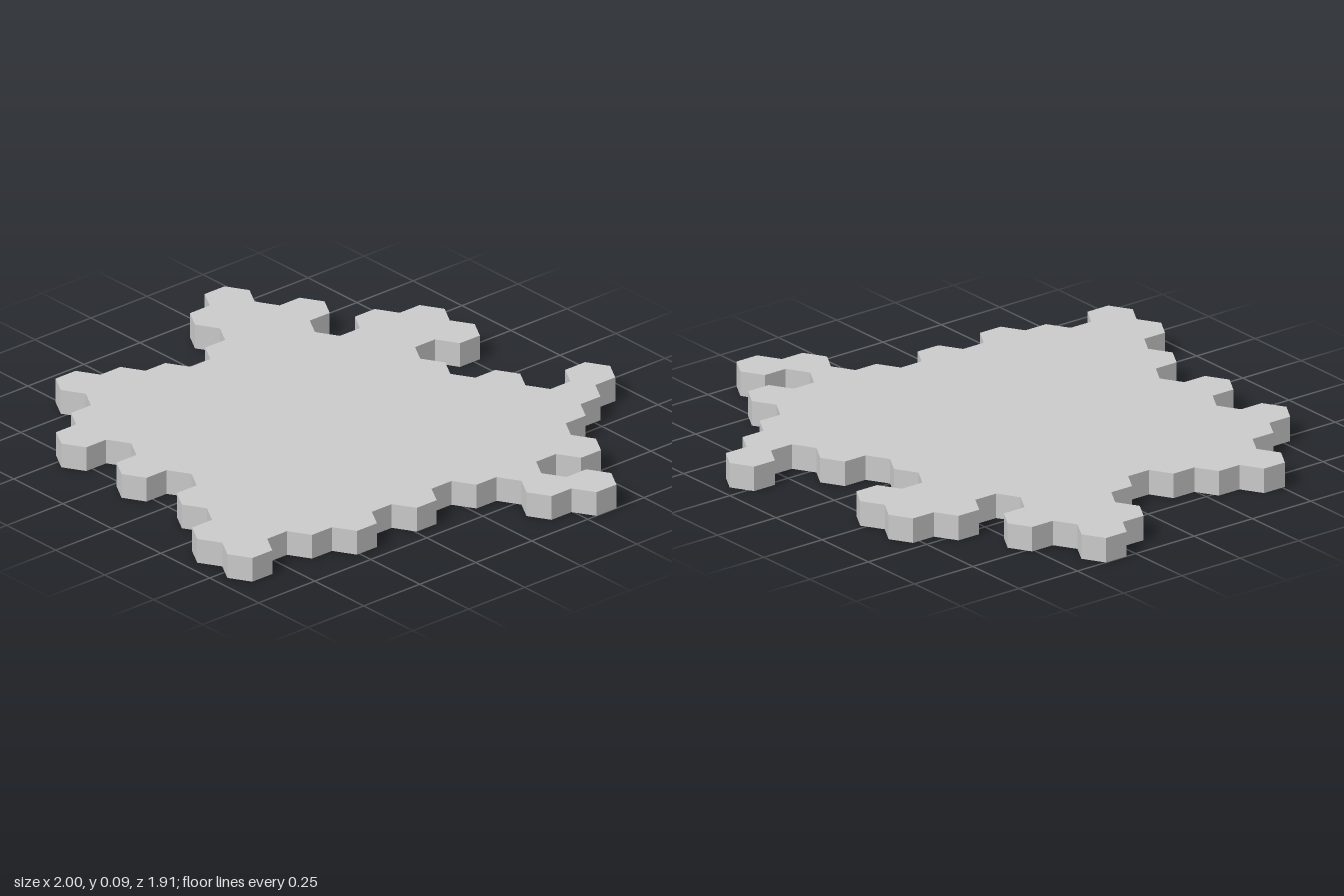
import * as THREE from 'three';

const HALF = 1 / 13;              // half the width of one hexagon
const R = (2 * HALF) / Math.sqrt(3); // hexagon corner radius
const HEIGHT = R;

// Runs of hexagons [first, last] per row, back to front, in half widths from the centre
const ROWS = [
  [[4, 4]],
  [[-5, -3], [5, 5]],
  [[-6, -4], [2, 6]],
  [[-9, -9], [-5, 9]],
  [[-12, 8], [12, 12]],
  [[-11, 11]],
  [[-8, 8]],
  [[-7, 7]],
  [[-8, 8]],
  [[-9, 7]],
  [[-10, 8]],
  [[-7, 7]],
  [[-6, -6], [-2, -2], [2, 6]],
  [[5, 7]],
];

// Corners on a half-width by half-radius lattice; edge k joins corner k to k + 1
const CORNERS = [[1, -1], [1, 1], [0, 2], [-1, 1], [-1, -1], [0, -2]];
// Neighbour across each edge, as [half widths, rows]
const NEIGHBOURS = [[2, 0], [1, 1], [-1, 1], [-2, 0], [-1, -1], [1, -1]];

const isFilled = (u, row) => (ROWS[row] ?? []).some(([a, b]) => u >= a && u <= b);

// Collect the edges with no neighbour and chain them into one closed outline
function traceOutline() {
  const next = new Map();
  ROWS.forEach((runs, row) => {
    for (const [first, last] of runs) {
      for (let u = first; u <= last; u += 2) {
        NEIGHBOURS.forEach(([du, dr], k) => {
          if (isFilled(u + du, row + dr)) return;
          const [p, q] = [CORNERS[k], CORNERS[(k + 1) % 6]].map(([cx, cz]) => [u + cx, 3 * row + cz]);
          next.set(p.join(), q);
        });
      }
    }
  });
  const start = next.values().next().value;
  const outline = [];
  let point = start;
  do {
    outline.push(point);
    point = next.get(point.join());
  } while (point.join() !== start.join());
  return outline;
}

export function createModel() {
  const group = new THREE.Group();
  group.name = 'hexTile';

  // Flat slab with a stepped hexagonal outline
  const midRow = 1.5 * (ROWS.length - 1);
  const shape = new THREE.Shape(
    traceOutline().map(([u, v]) => new THREE.Vector2(u * HALF, ((midRow - v) * R) / 2))
  );
  const geometry = new THREE.ExtrudeGeometry(shape, { depth: HEIGHT, bevelEnabled: false });
  geometry.rotateX(-Math.PI / 2);

  const slab = new THREE.Mesh(
    geometry,
    new THREE.MeshStandardMaterial({ color: 0xcccccc, flatShading: true })
  );
  slab.name = 'slab';
  group.add(slab);
  return group;
}
